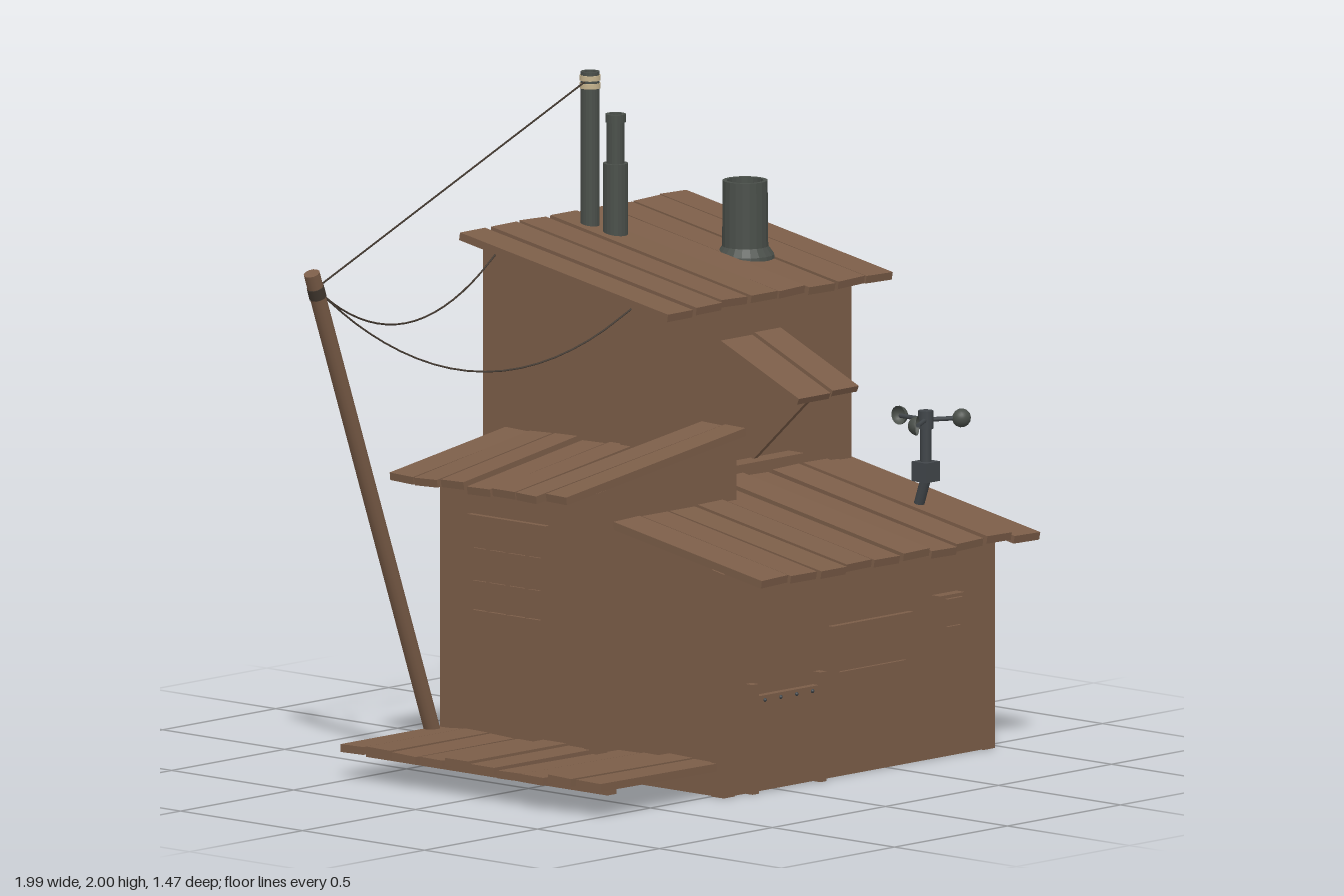
import * as THREE from 'three';

const mat = (name, color, side = THREE.FrontSide) => {
  const m = new THREE.MeshStandardMaterial({ color, side });
  m.name = name;
  return m;
};

export function createModel() {
  const root = new THREE.Group();
  root.name = 'shack';
  const wood = mat('wood', 0x7b5d48, THREE.DoubleSide);
  const metal = mat('darkMetal', 0x4a4f4a, THREE.DoubleSide);
  const iron = mat('iron', 0x41464a);
  const cream = mat('creamBand', 0xc6b48e);
  const wire = mat('wire', 0x443a31);

  let seed = 7;
  const rand = () => (seed = (seed * 16807) % 2147483647) / 2147483647;
  const jitter = (a) => (rand() * 2 - 1) * a;

  const add = (name, geo, material, parent = root) => {
    const m = new THREE.Mesh(geo, material);
    m.name = name;
    parent.add(m);
    return m;
  };
  // Box from its low and high corners
  const box = (name, x0, x1, y0, y1, z0, z1, material = wood, parent = root) => {
    const m = add(name, new THREE.BoxGeometry(x1 - x0, y1 - y0, z1 - z0), material, parent);
    m.position.set((x0 + x1) / 2, (y0 + y1) / 2, (z0 + z1) / 2);
    return m;
  };
  // Box on the ground with a sloping top; dropped faces: 2 top, 3 bottom
  const shell = (name, x0, x1, z0, z1, topAt, drop = []) => {
    const g = new THREE.BoxGeometry(x1 - x0, 1, z1 - z0);
    g.translate((x0 + x1) / 2, 0.5, (z0 + z1) / 2);
    const p = g.attributes.position;
    for (let i = 0; i < p.count; i++) if (p.getY(i) > 0.5) p.setY(i, topAt(p.getX(i), p.getZ(i)));
    const index = Array.from(g.index.array);
    g.setIndex(index.filter((_, i) => !drop.includes(Math.floor(i / 6))));
    g.clearGroups();
    g.computeVertexNormals();
    return add(name, g, wood);
  };
  // Round bar between two points
  const rod = (name, a, b, r, material, parent = root, sides = 10) => {
    const A = new THREE.Vector3(...a), B = new THREE.Vector3(...b);
    const m = add(name, new THREE.CylinderGeometry(r, r, A.distanceTo(B), sides), material, parent);
    m.position.copy(A).add(B).multiplyScalar(0.5);
    m.quaternion.setFromUnitVectors(new THREE.Vector3(0, 1, 0), B.sub(A).normalize());
    return m;
  };
  // Row of uneven boards: each runs from (u0, y0) to (u1, y1), side by side from v0 to v1
  const boards = (name, along, n, v0, v1, u0, y0, u1, y1, loose = 0.015) => {
    const group = new THREE.Group();
    group.name = name;
    root.add(group);
    const pitch = (v1 - v0) / n, slope = Math.atan2(y1 - y0, u1 - u0);
    const len = Math.hypot(u1 - u0, y1 - y0);
    for (let i = 0; i < n; i++) {
      const L = len - rand() * loose * 2, W = pitch - 0.007 - rand() * 0.008;
      const u = (u0 + u1) / 2 + jitter(loose * 0.5), y = (y0 + y1) / 2 + jitter(0.007);
      const v = v0 + (i + 0.5) * pitch;
      const m = add('board', new THREE.BoxGeometry(along === 'x' ? L : W, 0.024, along === 'x' ? W : L), wood, group);
      if (along === 'x') {
        m.position.set(u, y, v);
        m.rotation.set(jitter(0.04), jitter(0.008), slope);
      } else {
        m.position.set(v, y, u);
        m.rotation.set(-slope, jitter(0.008), jitter(0.04));
      }
    }
  };

  // Walls of the tower, front room and side room
  const towerTop = (x, z) => 1.396 - 0.178 * z;
  const frontTop = (x, z) => 0.788 - 0.19 * z;
  const sideTop = (x) => 0.94 + 0.148 * x;
  shell('towerWalls', 0.01, 0.96, -0.64, -0.045, towerTop, [3]);
  shell('frontRoomWalls', -0.22, 0.96, -0.045, 0.54, frontTop, [3, 5]);
  shell('sideRoom', -0.32, 0.28, -0.51, 0.11, sideTop);

  // Corner posts
  const post = (x, z, topAt) => shell('cornerPost', x, x + 0.05, z, z + 0.05, topAt);
  for (const x of [0, 0.92]) for (const z of [-0.65, -0.088]) post(x, z, towerTop);
  for (const x of [-0.23, 0.92]) post(x, 0.5, frontTop);
  for (const z of [-0.52, 0.07]) post(-0.33, z, sideTop);
  post(0.24, 0.07, sideTop);

  // Board roofs and deck
  boards('towerRoof', 'z', 8, -0.02, 0.985, -0.73, 1.54, 0.12, 1.39);
  boards('frontRoof', 'z', 10, -0.245, 0.985, -0.05, 0.815, 0.73, 0.675);
  boards('sideRoofBack', 'x', 5, -0.575, -0.04, -0.51, 0.885, 0.02, 0.963);
  boards('sideRoofFront', 'x', 2, -0.04, 0.155, -0.51, 0.885, 0.305, 1.0);
  boards('deckBack', 'x', 6, -0.54, 0.1, -0.765, 0.095, -0.3, 0.095);
  boards('deckFront', 'x', 4, 0.1, 0.525, -0.765, 0.095, -0.2, 0.09);
  for (const x of [-0.68, -0.36]) box('deckBeam', x, x + 0.04, 0.06, 0.082, -0.5, 0.49);

  // Plank doors, framed windows, drawn facing +z and turned where needed
  const place = (name, x, z, turn) => {
    const g = new THREE.Group();
    g.name = name;
    g.position.set(x, 0, z);
    g.rotation.y = turn;
    root.add(g);
    return g;
  };
  const door = (x, z, turn) => {
    const g = place('door', x, z, turn);
    for (const s of [-1, 1]) box('doorPost', s * 0.15 - 0.014, s * 0.15 + 0.014, 0, 0.335, 0, 0.03, wood, g);
    box('doorBeam', -0.145, 0.145, 0.268, 0.296, 0, 0.025, wood, g);
    for (let i = 0; i < 4; i++) {
      const c = -0.105 + i * 0.07;
      box('doorBoard', c - 0.032, c + 0.032, 0.005, 0.27, 0, 0.01 + (i % 2) * 0.005, wood, g);
      const nail = add('nail', new THREE.SphereGeometry(0.006, 8, 6), iron, g);
      nail.position.set(c, 0.282, 0.026);
    }
  };
  door(0.04, 0.54, 0);
  door(0.96, -0.34, Math.PI / 2);

  const framedWindow = (name, x, z, turn, w, y0, y1, edge) => {
    const g = place(name, x, z, turn), h = w / 2;
    box('pane', -h + edge, h - edge, y0 + edge, y1 - edge, 0, 0.008, wood, g);
    for (const s of [-1, 1]) box('frameSide', s * (h - edge / 2) - edge / 2, s * (h - edge / 2) + edge / 2, y0, y1, 0, 0.02, wood, g);
    box('frameBottom', -h + edge, h - edge, y0, y0 + edge, 0, 0.02, wood, g);
    box('frameTop', -h + edge, h - edge, y1 - edge, y1, 0, 0.02, wood, g);
    return g;
  };
  framedWindow('frontWindow', 0.42, 0.54, 0, 0.36, 0.29, 0.465, 0.032);
  framedWindow('towerWindow', 0.96, -0.42, Math.PI / 2, 0.18, 0.585, 1.19, 0.03);
  const lattice = framedWindow('latticeWindow', -0.32, -0.24, -Math.PI / 2, 0.32, 0.46, 0.77, 0.02);
  for (let i = 1; i < 4; i++) {
    box('latticeBar', -0.166 + i * 0.08, -0.154 + i * 0.08, 0.48, 0.75, 0, 0.016, wood, lattice);
    if (i < 3) box('latticeBar', -0.14, 0.14, 0.457 + i * 0.1, 0.469 + i * 0.1, 0, 0.016, wood, lattice);
  }

  // Small wall box beside the front window
  box('wallBox', 0.7, 0.81, 0.29, 0.5, 0.54, 0.575);
  box('wallBoxUpper', 0.72, 0.79, 0.42, 0.49, 0.575, 0.588);
  box('wallBoxLower', 0.725, 0.785, 0.33, 0.405, 0.575, 0.585);

  // Propped hatch on the tower front
  for (const [x0, x1, lift] of [[0.395, 0.535, 0], [0.545, 0.66, 0.006]]) {
    const flap = box('hatchBoard', x0, x1, -0.01, 0.01, -0.175, 0.175);
    flap.position.set((x0 + x1) / 2, 1.168 + lift, 0.115);
    flap.rotation.x = Math.atan2(0.14, 0.32);
  }
  const prop = box('hatchProp', 0.525, 0.541, -0.165, 0.165, -0.008, 0.008);
  prop.position.set(0.533, 0.985, 0.085);
  prop.rotation.x = Math.atan2(0.25, 0.23);
  box('hatchSill', 0.37, 0.7, 0.855, 0.872, -0.045, 0.02);

  // Chimneys
  const pipe = (name, x, z, pts) => {
    const m = add(name, new THREE.LatheGeometry(pts.map(([r, y]) => new THREE.Vector2(r, y)), 20), metal);
    m.geometry = m.geometry.toNonIndexed();
    m.geometry.computeVertexNormals();
    m.position.set(x, 0, z);
  };
  pipe('tallPipe', 0.42, -0.6, [[0.029, 1.48], [0.029, 2], [0.02, 2], [0.02, 1.95], [0, 1.95]]);
  pipe('steppedPipe', 0.43, -0.505, [[0.038, 1.47], [0.038, 1.73], [0.027, 1.73], [0.027, 1.855], [0.031, 1.855], [0.031, 1.88], [0.02, 1.88], [0.02, 1.84], [0, 1.84]]);
  pipe('widePipe', 0.685, -0.21, [[0.092, 1.425], [0.088, 1.455], [0.07, 1.48], [0.068, 1.68], [0.055, 1.68], [0.055, 1.62], [0, 1.62]]);
  for (const y of [1.957, 1.981]) rod('pipeBand', [0.42, y - 0.008, -0.6], [0.42, y + 0.008, -0.6], 0.032, cream, root, 20);

  // Leaning pole with sagging wires
  const tip = [-0.955, 1.53, -0.452];
  rod('pole', [-0.365, 0.1, -0.52], [-0.975, 1.58, -0.449], 0.025, wood, root, 12);
  rod('poleBand', [-0.943, 1.503, -0.453], [-0.957, 1.536, -0.451], 0.027, wire, root, 12);
  const strand = (a, b, sag) => {
    const pts = [];
    for (let i = 0; i <= 8; i++) {
      const t = i / 8;
      pts.push(new THREE.Vector3(...a).lerp(new THREE.Vector3(...b), t));
      pts[i].y -= 4 * sag * t * (1 - t);
    }
    add('wire', new THREE.TubeGeometry(new THREE.CatmullRomCurve3(pts), 20, 0.003, 5), wire);
  };
  strand(tip, [0.42, 1.98, -0.6], 0);
  strand(tip, [0.01, 1.5, -0.6], 0.16);
  strand(tip, [0.01, 1.4, -0.04], 0.225);

  // Wind gauge with three cups
  const gauge = new THREE.Group();
  gauge.name = 'windGauge';
  root.add(gauge);
  const plate = box('gaugePlate', 0.75, 0.825, 0.735, 0.747, 0.355, 0.435, cream, gauge);
  plate.rotation.x = 0.18;
  rod('gaugeFoot', [0.79, 0.735, 0.4], [0.788, 0.835, 0.436], 0.016, iron, gauge);
  box('gaugeBody', 0.758, 0.818, 0.825, 0.885, 0.405, 0.465, iron, gauge);
  rod('gaugeMast', [0.788, 0.88, 0.435], [0.788, 1.0, 0.435], 0.017, iron, gauge);
  rod('gaugeHub', [0.788, 0.985, 0.435], [0.788, 1.04, 0.435], 0.023, iron, gauge);
  for (let i = 0; i < 3; i++) {
    const a = -Math.PI / 2 + (i * Math.PI * 2) / 3, c = Math.cos(a), s = Math.sin(a);
    rod('gaugeArm', [0.788, 1.012, 0.435], [0.788 + c * 0.105, 1.012, 0.435 + s * 0.105], 0.007, iron, gauge, 8);
    const cup = add('gaugeCup', new THREE.SphereGeometry(0.029, 14, 8, 0, Math.PI * 2, 0, Math.PI / 2), metal, gauge);
    cup.position.set(0.788 + c * 0.112, 1.012, 0.435 + s * 0.112);
    cup.quaternion.setFromUnitVectors(new THREE.Vector3(0, 1, 0), new THREE.Vector3(-s, 0, c));
  }
  return root;
}
